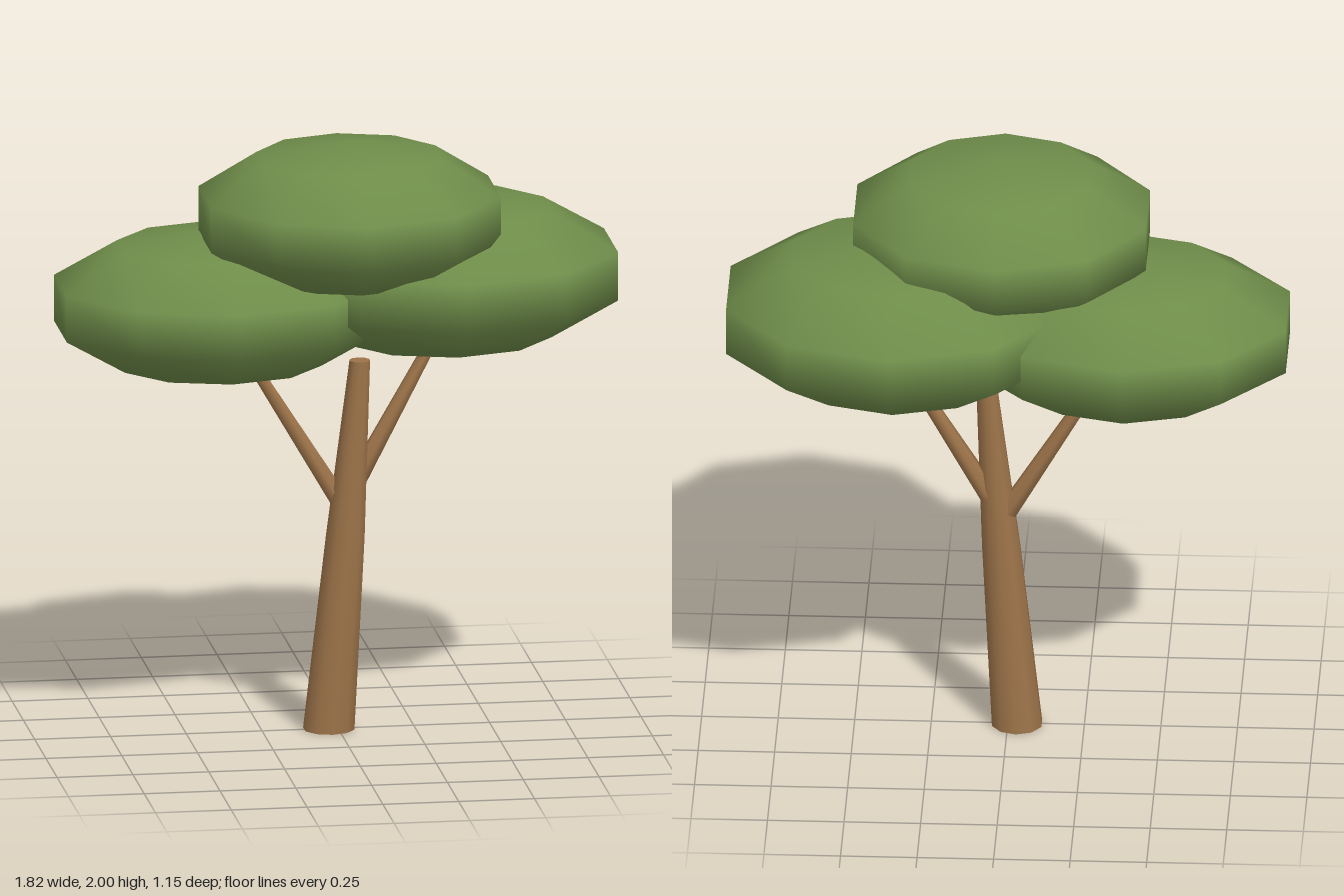
import * as THREE from 'three';
import { toCreasedNormals } from 'three/addons/utils/BufferGeometryUtils.js';

// Tapered limb through rings of [x, y, z, radius]; rings stay level unless tilted along the axis
function limb(name, rings, sides, material, level) {
  const n = rings.length - 1;
  const geo = new THREE.CylinderGeometry(1, 1, 1, sides, n);
  const pos = geo.attributes.position;
  const start = new THREE.Vector3(...rings[0]);
  const axis = new THREE.Vector3(...rings[n]).sub(start).normalize();
  const up = new THREE.Vector3(0, 1, 0);
  const turn = new THREE.Quaternion();
  if (!level) turn.setFromUnitVectors(up, axis);
  const v = new THREE.Vector3();
  for (let i = 0; i < pos.count; i++) {
    const [x, y, z, r] = rings[Math.round((pos.getY(i) + 0.5) * n)];
    v.set(pos.getX(i) * r, 0, pos.getZ(i) * r).applyQuaternion(turn);
    pos.setXYZ(i, v.x + x, v.y + y, v.z + z);
  }
  const mesh = new THREE.Mesh(toCreasedNormals(geo, 1.2), material);
  mesh.name = name;
  return mesh;
}

// Flattened ten-sided leaf cloud
function canopy(name, center, radii, material) {
  const geo = new THREE.SphereGeometry(1, 10, 5);
  geo.rotateY(Math.PI / 2);
  geo.scale(...radii);
  const mesh = new THREE.Mesh(geo, material);
  mesh.position.set(...center);
  mesh.name = name;
  return mesh;
}

export function createModel() {
  const bark = new THREE.MeshStandardMaterial({ color: 0x9c7349 });
  bark.name = 'bark brown';
  const leaf = new THREE.MeshStandardMaterial({ color: 0x6f8d4a });
  leaf.name = 'leaf green';

  const tree = new THREE.Group();
  tree.name = 'tree';
  tree.add(
    // Leaning trunk with a slight bend
    limb('trunk', [[-0.03, 0, 0, 0.085], [0.023, 0.65, 0.01, 0.064], [0.071, 1.24, 0.008, 0.034]], 10, bark, true),
    // Two side branches
    limb('leftBranch', [[0.06, 0.83, -0.003, 0.034], [0.315, 1.28, -0.038, 0.02]], 6, bark, false),
    limb('rightBranch', [[0.0, 0.775, -0.003, 0.034], [-0.29, 1.25, 0, 0.02]], 6, bark, false),
    // Three leaf clouds
    canopy('leftCanopy', [0.36, 1.513, -0.06], [0.608, 0.262, 0.5415], leaf),
    canopy('rightCanopy', [-0.39, 1.447, -0.005], [0.58, 0.248, 0.497], leaf),
    canopy('topCanopy', [0.025, 1.755, 0.095], [0.528, 0.245, 0.5], leaf),
  );
  return tree;
}
